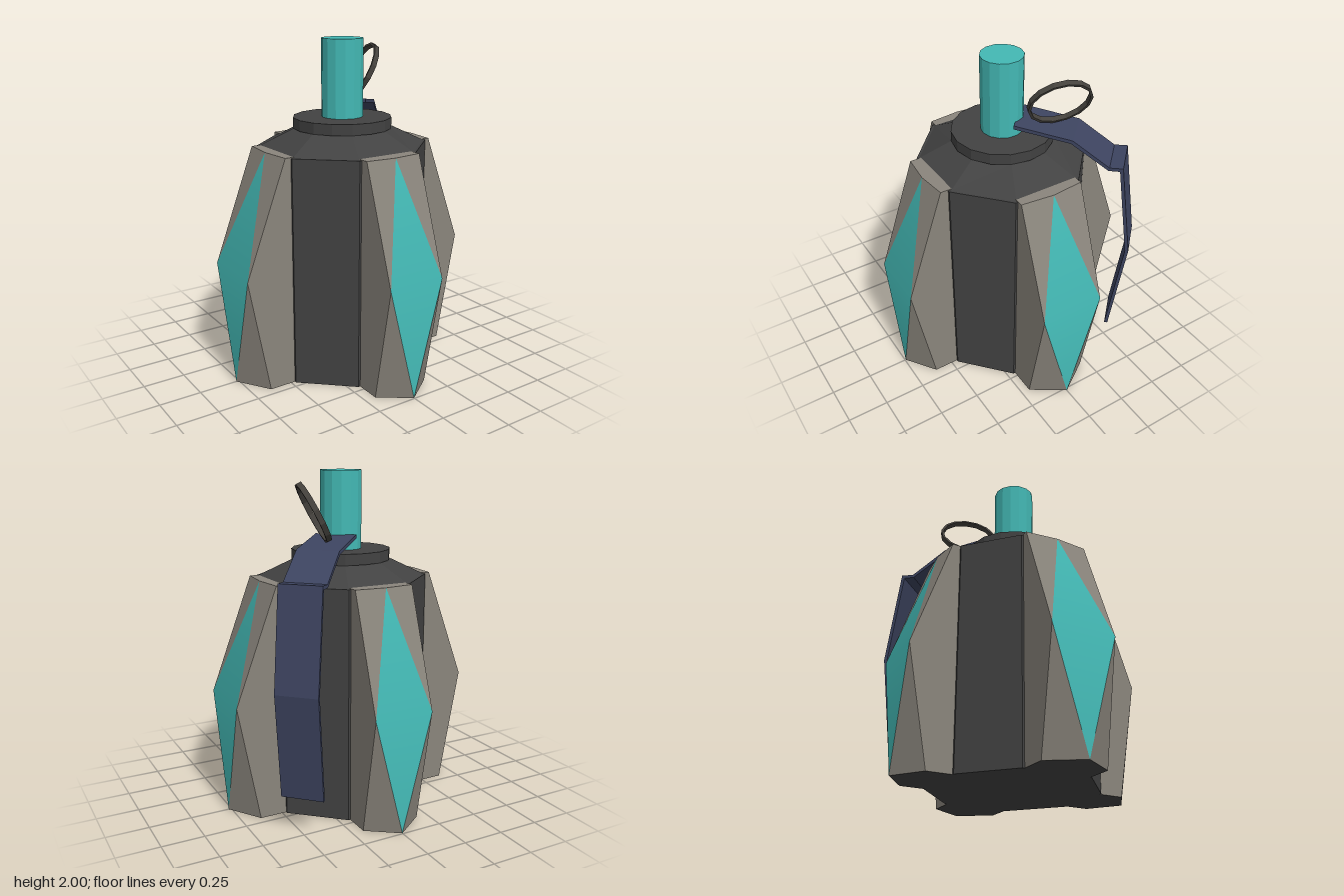
import * as THREE from 'three';

const mat = (name, color) => {
  const m = new THREE.MeshStandardMaterial({ color });
  m.name = name;
  return m;
};

// Faceted normals
const flat = (g) => {
  const f = g.index ? g.toNonIndexed() : g;
  f.computeVertexNormals();
  return f;
};

// Fan-triangulated polygons, each a list of [x, y, z] corners
function polygons(faces) {
  const pos = [];
  for (const f of faces)
    for (let i = 1; i < f.length - 1; i++) pos.push(...f[0], ...f[i], ...f[i + 1]);
  const g = new THREE.BufferGeometry();
  g.setAttribute('position', new THREE.Float32BufferAttribute(pos, 3));
  g.computeVertexNormals();
  return g;
}

// Closed solid through horizontal rings of equal point count
function loft(rings) {
  const faces = [[...rings[0]].reverse(), rings[rings.length - 1]];
  for (let r = 0; r < rings.length - 1; r++)
    rings[r].forEach((p, i) => {
      const j = (i + 1) % rings[r].length;
      faces.push([p, rings[r][j], rings[r + 1][j], rings[r + 1][i]]);
    });
  return polygons(faces);
}

// Octagon with long diagonal sides, counter-clockwise from above
const octagon = (y, ax, az, bx, bz) => [
  [ax, y, az], [bx, y, bz], [bx, y, -bz], [ax, y, -az],
  [-ax, y, -az], [-bx, y, -bz], [-bx, y, bz], [-ax, y, az],
];

export function createModel() {
  const model = new THREE.Group();
  model.name = 'grenade';
  const charcoal = mat('charcoal', 0x424242);
  const stone = mat('warm grey', 0x8a857c);
  const teal = mat('teal', 0x43b8b4);
  const navy = mat('navy', 0x3d4460);
  const iron = mat('dark iron', 0x45423d);

  const add = (name, geo, material, parent = model) => {
    const m = new THREE.Mesh(geo, material);
    m.name = name;
    parent.add(m);
    return m;
  };

  // Octagonal body with sloping shoulder
  add('body', loft([octagon(0, 0.195, 0.463, 0.475, 0.21), octagon(1.375, 0.195, 0.463, 0.475, 0.21)]), charcoal);
  add('shoulder', loft([octagon(1.375, 0.19, 0.45, 0.465, 0.2), octagon(1.475, 0.115, 0.27, 0.275, 0.11)]), charcoal);

  // Neck collar and plunger
  const collar = add('collar', flat(new THREE.CylinderGeometry(0.297, 0.297, 0.065, 16)), charcoal);
  collar.position.y = 1.507;
  const plunger = add('plunger', flat(new THREE.CylinderGeometry(0.125, 0.125, 0.47, 14)), teal);
  plunger.position.y = 1.765;

  // Four faceted fins, each with a folded diamond panel
  const H = 1.38, MID = 0.7;
  function fin(name, w, reach, angle) {
    const group = new THREE.Group();
    group.name = name;
    const inner = 0.44, topSide = 0.51, topMid = 0.53, lowSide = reach - 0.13;
    const side = (s) => ({
      it: [s * w, H, inner], st: [s * w, H, topSide], m: [s * w, MID, reach],
      sb: [s * w, 0, lowSide], ib: [s * w, 0, inner],
    });
    const ct = [0, H, topMid], cb = [0, 0, reach];
    const R = side(1), L = side(-1);
    const half = (p) => [[p.sb, p.ib, p.it, p.st, p.m], [p.m, p.st, ct], [cb, p.sb, p.m]];
    add('finBlock', polygons([
      ...half(R),
      ...half(L).map((f) => f.reverse()),
      [ct, R.st, R.it, L.it, L.st],
    ]), stone, group);
    add('finBase', polygons([[R.ib, R.sb, cb, L.sb, L.ib]]), charcoal, group);

    // Softly folded diamond
    const d = new THREE.BufferGeometry();
    d.setAttribute('position', new THREE.Float32BufferAttribute([...cb, ...R.m, ...ct, ...L.m], 3));
    d.setIndex([0, 1, 3, 3, 1, 2]);
    d.computeVertexNormals();
    add('diamondPanel', d, teal, group);
    group.rotation.y = angle;
    model.add(group);
  }
  fin('frontFin', 0.182, 0.745, 0);
  fin('leftFin', 0.198, 0.767, Math.PI / 2);
  fin('backFin', 0.182, 0.745, Math.PI);
  fin('rightFin', 0.198, 0.767, -Math.PI / 2);

  // Bent lever running diagonally to the back left
  const profile = [
    [0.095, 1.632], [0.43, 1.58], [0.645, 1.432], [0.722, 1.437], [0.805, 0.85], [0.73, 0.23],
    [0.71, 0.23], [0.785, 0.85], [0.705, 1.415], [0.64, 1.412], [0.42, 1.56], [0.095, 1.61],
  ].map(([x, y]) => new THREE.Vector2(x, y));
  const lever = new THREE.ExtrudeGeometry(new THREE.Shape(profile), { depth: 0.25, bevelEnabled: false });
  lever.translate(0, 0, -0.125);
  lever.rotateY(Math.PI / 4);
  add('lever', lever, navy);

  // Tilted pull ring, a thin flat band
  const band = [[0.185, -0.016], [0.185, 0.016], [0.169, 0.016], [0.169, -0.016], [0.185, -0.016]]
    .map(([x, y]) => new THREE.Vector2(x, y));
  const ring = add('pullRing', flat(new THREE.LatheGeometry(band, 14)), iron);
  const u = new THREE.Vector3(0.05, -0.01, -0.18).normalize();
  const n = new THREE.Vector3(0.08, 0.155, 0.015).cross(u).normalize();
  const v = u.clone().cross(n);
  ring.quaternion.setFromRotationMatrix(new THREE.Matrix4().makeBasis(u, n, v));
  ring.position.set(0.278, 1.775, -0.2);

  return model;
}
